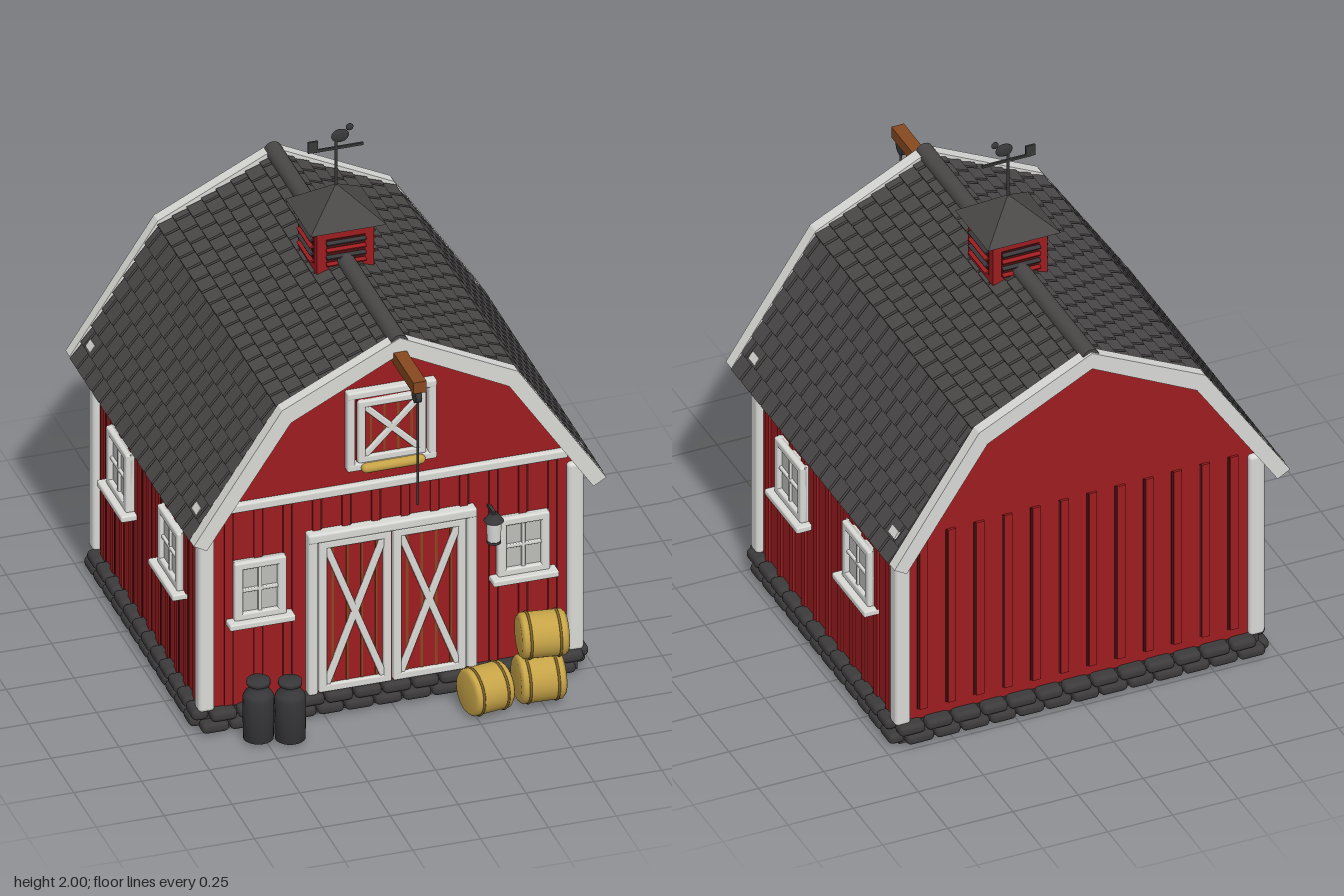
import * as THREE from 'three';
import { mergeGeometries } from 'three/addons/utils/BufferGeometryUtils.js';
import { RoundedBoxGeometry } from 'three/addons/geometries/RoundedBoxGeometry.js';

const mat = (name, color, extra = {}) => {
  const m = new THREE.MeshStandardMaterial({ color, ...extra });
  m.name = name;
  return m;
};

export function createModel() {
  const M = {
    red: mat('barnRed', 0x9c1c1f), seam: mat('seamRed', 0x4c1113), white: mat('trimWhite', 0xd8d8d5),
    glass: mat('paleGlass', 0xbcbcb8), shingle: mat('shingleGrey', 0x4a4747), stone: mat('stoneGrey', 0x3c3a3b),
    metal: mat('darkMetal', 0x38383a), hay: mat('hayGold', 0xc6a347), band: mat('twineBrown', 0x7d632a),
    wood: mat('beamWood', 0x85481f),
  };
  const root = new THREE.Group();
  root.name = 'barn';
  const CZ = -0.105; // centre of the building in z
  const FZ = 0.49, BZ = -0.70, WX = 0.685; // wall faces

  const add = (name, geo, m, x = 0, y = 0, z = 0, parent = root) => {
    const mesh = new THREE.Mesh(geo, m);
    mesh.name = name;
    mesh.position.set(x, y, z);
    parent.add(mesh);
    return mesh;
  };
  const group = (name, x = 0, y = 0, z = 0, parent = root) => {
    const g = new THREE.Group();
    g.name = name;
    g.position.set(x, y, z);
    parent.add(g);
    return g;
  };
  const box = (name, m, w, h, d, x, y, z, parent) => add(name, new THREE.BoxGeometry(w, h, d), m, x, y, z, parent);
  const trim = (name, w, h, d, x, y, z, parent) =>
    add(name, new RoundedBoxGeometry(w, h, d, 2, Math.min(w, h, d) * 0.25), M.white, x, y, z, parent);
  const cyl = (name, m, r0, r1, h, x, y, z, parent, n = 16) =>
    add(name, new THREE.CylinderGeometry(r0, r1, h, n), m, x, y, z, parent);
  // Prism from a symmetric outline given by its right half
  const mirrorPts = (half) => [...half, ...half.filter((p) => p[0] > 0).reverse().map(([x, y]) => [-x, y])];
  const prism = (name, m, pts, z0, z1) => {
    const shape = new THREE.Shape(pts.map(([x, y]) => new THREE.Vector2(x, y)));
    return add(name, new THREE.ExtrudeGeometry(shape, { depth: z1 - z0, bevelEnabled: false }), m, 0, 0, z0);
  };
  const archBand = (outer, inner) => [...mirrorPts(outer), ...mirrorPts(inner).reverse()];

  // Foundation slab and two courses of rounded stones
  box('foundationSlab', M.stone, 1.38, 0.085, 1.2, 0, 0.0475, CZ);
  const stones = [];
  for (let row = 0; row < 2; row++) {
    const y = 0.034 + row * 0.042;
    const course = (len, n, place) => {
      const w = len / n;
      for (let i = 0; i < n; i++) {
        const k = 0.95 + 0.05 * Math.sin(i * 2.7 + row * 5);
        place(w * k, -len / 2 + w * (i + 0.5) + (row - 0.5) * w * 0.3);
      }
    };
    for (const s of [-1, 1]) {
      course(1.38, 13, (w, p) => stones.push(new RoundedBoxGeometry(w, 0.042, 0.06, 2, 0.018).translate(p, y, CZ + s * 0.613)));
      course(1.2, 12, (w, p) => stones.push(new RoundedBoxGeometry(0.06, 0.042, w, 2, 0.018).translate(s * 0.7, y, CZ + p)));
    }
  }
  add('foundationStones', mergeGeometries(stones), M.stone);

  // Walls with gambrel gables
  prism('walls', M.red, mirrorPts([[WX, 0.08], [WX, 0.85], [0.41, 1.265], [0, 1.47]]), BZ, FZ);

  // Vertical battens with dark seams beside them
  const battens = [], seams = [];
  const wallStrip = (len, n, y0, y1, place) => {
    for (let i = 0; i < n; i++) {
      const p = -len / 2 + (len * (i + 0.5)) / n;
      const h = y1 - y0, y = (y0 + y1) / 2;
      battens.push(place(new THREE.BoxGeometry(0.03, h, 0.018), p, y));
      seams.push(place(new THREE.BoxGeometry(0.007, h, 0.006), p + 0.0185, y));
    }
  };
  wallStrip(1.3, 12, 0.09, 0.88, (g, p, y) => g.translate(p, y, FZ));
  wallStrip(1.3, 12, 0.13, 0.86, (g, p, y) => g.translate(p, y, BZ));
  for (const s of [-1, 1])
    wallStrip(1.12, 11, 0.09, 0.83, (g, p, y) => g.rotateY(Math.PI / 2).translate(s * WX, y, CZ + p));
  add('battens', mergeGeometries(battens), M.red);
  add('boardSeams', mergeGeometries(seams), M.seam);

  // Corner posts and front band
  for (const s of [-1, 1]) for (const z of [0.483, -0.693])
    trim('cornerPost', 0.06, 0.76, 0.06, s * 0.68, 0.47, z);
  trim('frontBand', 1.3, 0.034, 0.03, 0, 0.893, 0.497);

  // Roof deck, rake boards and ridge
  prism('roofDeck', M.stone, archBand([[0.742, 0.822], [0.43, 1.292], [0, 1.502]], [[0.712, 0.805], [0.405, 1.265], [0, 1.47]]), -0.78, 0.56);
  const rake = archBand([[0.76, 0.83], [0.435, 1.32], [0, 1.535]], [[0.712, 0.803], [0.402, 1.265], [0, 1.47]]);
  prism('frontRake', M.white, rake, 0.558, 0.605);
  prism('backRake', M.white, rake, -0.82, -0.775);
  cyl('ridgeCap', M.shingle, 0.032, 0.032, 1.41, 0, 1.512, CZ).rotation.x = Math.PI / 2;

  // Shingle courses on both pitches
  const tiles = [];
  const courses = (a, b, rows, s) => {
    const dx = (b[0] - a[0]) * s, dy = b[1] - a[1], len = Math.hypot(dx, dy);
    const step = len / rows, nx = (s * dy) / len, ny = (-s * dx) / len, count = 16, w = 1.335 / count;
    for (let r = 0; r < rows; r++) {
      const t = (r + 0.5) / rows, odd = r % 2;
      for (let i = 0; i < count + odd; i++) {
        const half = odd && (i === 0 || i === count);
        const z = CZ - 0.6675 + w * (odd ? (half ? (i ? count - 0.25 : 0.25) : i) : i + 0.5);
        tiles.push(new THREE.BoxGeometry(step * 1.1, 0.016, (half ? w / 2 : w) - 0.012)
          .rotateZ(Math.atan2(dy, dx) + s * 0.12)
          .translate(a[0] * s + dx * t + nx * 0.007, a[1] + dy * t + ny * 0.007, z));
      }
    }
  };
  for (const s of [-1, 1]) {
    courses([0.745, 0.82], [0.43, 1.295], 8, s);
    courses([0.43, 1.295], [0, 1.505], 8, s);
    // Small pale clips near the eaves
    for (const z of [0.48, -0.70])
      box('roofClip', M.white, 0.03, 0.008, 0.05, s * 0.706, 0.905, z).rotation.z = -s * 0.98;
  }
  add('shingles', mergeGeometries(tiles), M.shingle);

  // Framed panel with a cross brace; origin at its centre
  const bracedPanel = (name, w, h, t, x, y, z) => {
    const g = group(name, x, y, z);
    box('panel', M.red, w, h, 0.016, 0, 0, 0, g);
    for (let i = 1; i < 5; i++) box('plankLine', M.wood, 0.008, h, 0.006, -w / 2 + (w * i) / 5, 0, 0.007, g);
    for (const s of [-1, 1]) {
      trim('stile', t, h, 0.025, s * (w - t) / 2, 0, 0.01, g);
      trim('rail', w, t, 0.025, 0, s * (h - t) / 2, 0.01, g);
      trim('brace', t * 0.85, Math.hypot(w - 2 * t, h - 2 * t), 0.02, 0, 0, 0.01, g).rotation.z = s * Math.atan2(w - 2 * t, h - 2 * t);
    }
    return g;
  };
  // Double door
  for (const s of [-1, 1]) {
    bracedPanel('doorLeaf', 0.268, 0.61, 0.03, s * 0.137, 0.405, 0.503);
    trim('doorJamb', 0.036, 0.65, 0.045, s * 0.293, 0.42, 0.505);
  }
  trim('doorLintel', 0.622, 0.038, 0.05, 0, 0.727, 0.505);
  // Loft door with a hay roll on its sill
  bracedPanel('loftDoor', 0.25, 0.25, 0.027, 0, 1.125, 0.498);
  for (const s of [-1, 1]) {
    trim('loftJamb', 0.03, 0.31, 0.04, s * 0.15, 1.13, 0.5);
    trim('loftRail', 0.33, 0.03, 0.042, 0, 1.13 + s * 0.145, 0.5);
  }
  add('loftHay', new THREE.CapsuleGeometry(0.018, 0.2, 4, 12), M.hay, 0, 0.985, 0.53).rotation.z = Math.PI / 2;

  // Windows
  const makeWindow = (w, x, y, z, turn) => {
    const g = group('window', x, y, z), h = 0.235;
    g.rotation.y = turn;
    box('glass', M.glass, w, h, 0.008, 0, 0, 0.012, g);
    for (const s of [-1, 1]) {
      trim('sideFrame', 0.032, h, 0.035, s * (w / 2 - 0.016), 0, 0.015, g);
      trim('crossFrame', w, 0.03, 0.035, 0, s * (h / 2 - 0.015), 0.015, g);
    }
    trim('mullion', 0.014, h, 0.022, 0, 0, 0.015, g);
    trim('glazingBar', w, 0.014, 0.022, 0, 0, 0.015, g);
    trim('sill', w + 0.05, 0.025, 0.06, 0, -h / 2 - 0.008, 0.028, g);
  };
  for (const s of [-1, 1]) {
    makeWindow(0.192, s * 0.485, 0.56, FZ, 0);
    for (const z of [0.18, -0.39]) makeWindow(0.226, s * WX, 0.58, z, s * Math.PI / 2);
  }

  // Wall lantern
  const lantern = group('lantern', 0.365, 0.66, 0.545);
  cyl('lanternGlass', M.white, 0.028, 0.024, 0.085, 0, -0.005, 0, lantern);
  cyl('lanternCap', M.metal, 0.014, 0.036, 0.03, 0, 0.05, 0, lantern);
  cyl('lanternBase', M.metal, 0.026, 0.026, 0.01, 0, -0.048, 0, lantern);
  box('lanternBracket', M.metal, 0.012, 0.012, 0.06, 0, 0.066, -0.025, lantern);

  // Hoist beam, pulley and rope
  box('hoistBeam', M.wood, 0.048, 0.045, 0.3, 0, 1.457, 0.675);
  cyl('pulley', M.metal, 0.028, 0.028, 0.022, 0, 1.408, 0.79).rotation.z = Math.PI / 2;
  cyl('rope', M.metal, 0.005, 0.005, 0.44, 0, 1.19, 0.8, root, 8);

  // Cupola with louvres and a pyramid roof
  const cupola = group('cupola', 0, 0, -0.107);
  box('cupolaBody', M.red, 0.21, 0.2, 0.21, 0, 1.55, 0, cupola);
  for (let side = 0; side < 4; side++) {
    const face = group('louvres', 0, 0, 0, cupola);
    face.rotation.y = (side * Math.PI) / 2;
    box('louvreOpening', M.seam, 0.145, 0.105, 0.006, 0, 1.555, 0.105, face);
    for (let i = 0; i < 4; i++)
      box('louvreSlat', i % 2 ? M.metal : M.red, 0.145, 0.007, 0.026, 0, 1.513 + i * 0.028, 0.109, face).rotation.x = 0.4;
  }
  const cap = new THREE.ConeGeometry(0.14 * Math.SQRT2, 0.115, 4).toNonIndexed();
  cap.computeVertexNormals();
  add('cupolaRoof', cap, M.shingle, 0, 1.708, 0, cupola).rotation.y = Math.PI / 4;

  // Weathervane
  const vane = group('weathervane', 0, 0, -0.107);
  cyl('vaneRod', M.metal, 0.005, 0.005, 0.2, 0, 1.85, 0, vane, 8);
  box('vaneBar', M.metal, 0.19, 0.01, 0.008, 0.005, 1.91, 0, vane);
  box('vaneTail', M.metal, 0.036, 0.044, 0.008, -0.086, 1.928, 0, vane);
  const ball = (name, rx, ry, rz, x, y) =>
    add(name, new THREE.SphereGeometry(1, 16, 10), M.metal, x, y, 0, vane).scale.set(rx, ry, rz);
  ball('birdBody', 0.033, 0.026, 0.008, 0.015, 1.957);
  ball('birdHead', 0.014, 0.014, 0.006, 0.05, 1.986);

  // Milk cans
  const canProfile = [[0, 0.015], [0.054, 0.015], [0.056, 0.18], [0.05, 0.195], [0.032, 0.215], [0.032, 0.23],
    [0.042, 0.232], [0.042, 0.247], [0, 0.25]].map(([x, y]) => new THREE.Vector2(x, y));
  for (const [x, z] of [[-0.522, 0.605], [-0.417, 0.642]])
    add('milkCan', new THREE.LatheGeometry(canProfile, 24), M.metal, x, 0, z);

  // Round hay bales lying on their sides
  const bale = (x, y, z, r, len, turn) => {
    const g = group('hayBale', x, y, z);
    g.rotation.y = turn;
    const e = len / 2, b = 0.012;
    const pts = [[0, -e], [r - b, -e], [r, -e + b], [r, e - b], [r - b, e], [0, e]].map(([u, v]) => new THREE.Vector2(u, v));
    add('baleBody', new THREE.LatheGeometry(pts, 28), M.hay, 0, 0, 0, g).rotation.z = Math.PI / 2;
    for (const s of [-1, 1])
      add('baleTwine', new THREE.TorusGeometry(r, 0.005, 6, 28), M.band, s * e * 0.62, 0, 0, g).rotation.y = Math.PI / 2;
  };
  bale(0.295, 0.095, 0.665, 0.086, 0.155, 0.16);
  bale(0.495, 0.1, 0.655, 0.088, 0.165, -0.06);
  bale(0.51, 0.265, 0.645, 0.083, 0.17, -0.12);

  return root;
}
